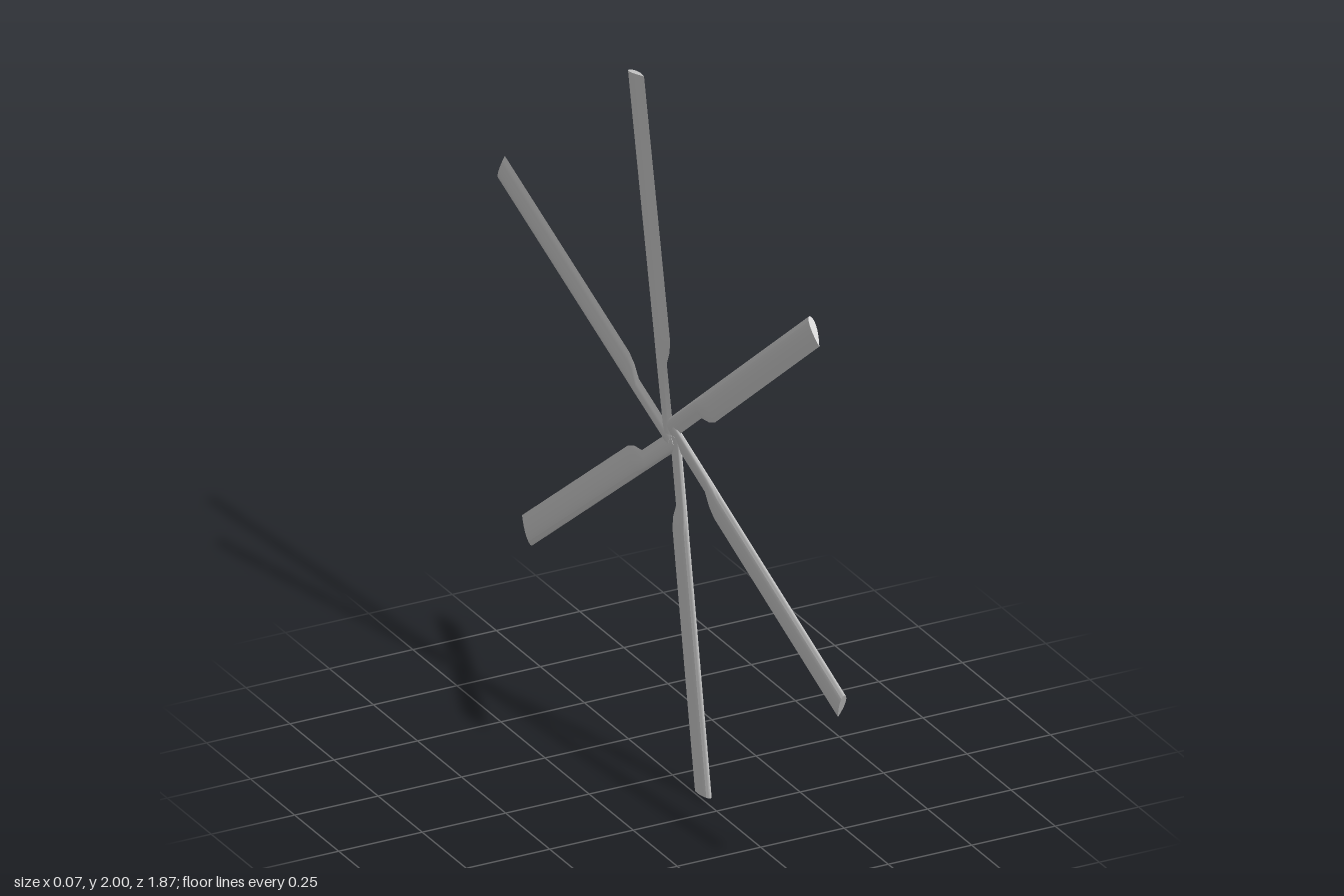
import * as THREE from 'three';
import { toCreasedNormals } from 'three/addons/utils/BufferGeometryUtils.js';

const LEAD = 0.043;          // straight leading edge, offset from the blade axis
const STEPS = 8;             // divisions across the chord, per face

// [radius, trailing edge offset, thickness]
const STATIONS = [
  [0, -0.011, 0.014],
  [0.2, -0.011, 0.016],
  [0.235, -0.033, 0.018],
  [0.27, -0.043, 0.018],
  [1.005, -0.043, 0.018],
];

// Closed airfoil loop: fuller on +x, flatter on -x
function section([r, trail, thick]) {
  const ring = [];
  const count = STEPS * 2;
  for (let i = 0; i < count; i++) {
    const upper = i <= STEPS;
    const k = upper ? i : count - i;
    const s = (1 - Math.cos((Math.PI * k) / STEPS)) / 2;
    const bulge = (Math.sqrt(s) * (1 - s)) / 0.385;
    const x = thick * bulge * (upper ? 0.6 : -0.4);
    ring.push(x, r, -(LEAD + (trail - LEAD) * s));
  }
  return ring;
}

// Blade lofted along +y through the stations, with closed ends
function bladeGeometry() {
  const n = STEPS * 2;
  const positions = STATIONS.flatMap(section);
  const index = [];
  for (let j = 0; j < STATIONS.length - 1; j++) {
    for (let i = 0; i < n; i++) {
      const a = j * n + i;
      const b = j * n + ((i + 1) % n);
      index.push(a, a + n, b, b, a + n, b + n);
    }
  }
  const top = (STATIONS.length - 1) * n;
  for (let i = 1; i < n - 1; i++) {
    index.push(0, i, i + 1, top, top + i + 1, top + i);
  }
  const geometry = new THREE.BufferGeometry();
  geometry.setAttribute('position', new THREE.Float32BufferAttribute(positions, 3));
  geometry.setIndex(index);
  return toCreasedNormals(geometry, 0.7);
}

export function createModel() {
  const model = new THREE.Group();
  model.name = 'rotor';
  const material = new THREE.MeshStandardMaterial({ color: 0xcccccc });
  const geometry = bladeGeometry();

  // Six slightly unevenly spaced blades meeting at the centre
  const rotor = new THREE.Group();
  rotor.name = 'bladeSet';
  [79.5, 23.6, -37.7, -99, -155.7, 141].forEach((angle, i) => {
    const blade = new THREE.Mesh(geometry, material);
    blade.name = `blade${i + 1}`;
    blade.rotation.x = THREE.MathUtils.degToRad(angle - 90);
    rotor.add(blade);
  });

  // Slight lean of the rotor disc
  rotor.rotation.set(0, 0.023, 0.006);
  rotor.position.set(-0.002, 1.007, 0);
  model.add(rotor);
  return model;
}
